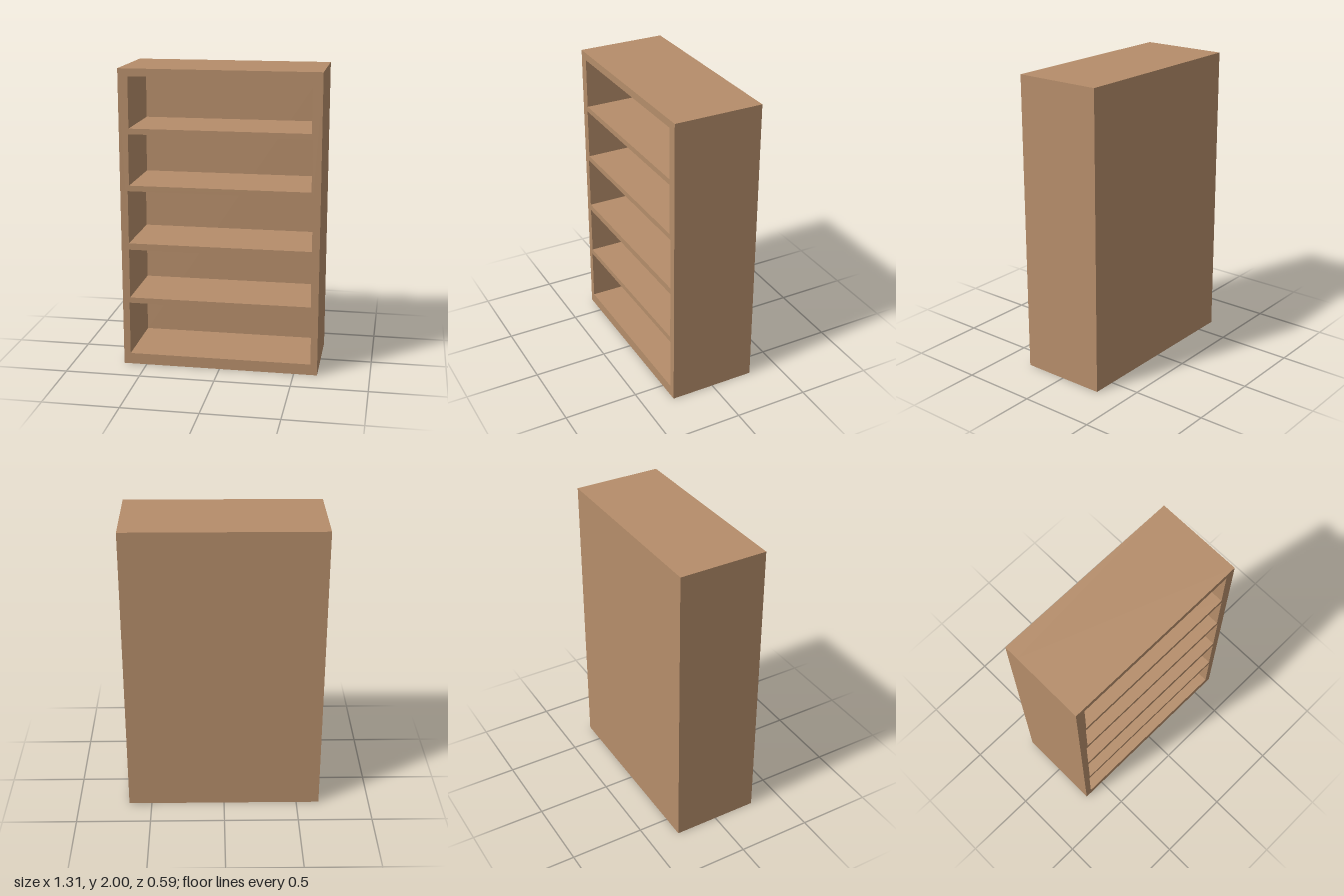
import * as THREE from 'three';

const W = 0.655, H = 2, FRONT = 0.294, BACK = -0.294, INNER = -0.196;

// Openings: half width, bottom, top
const OPENINGS = [
  [0.61, 0.074, 0.434],
  [0.605, 0.471, 0.804],
  [0.605, 0.847, 1.201],
  [0.595, 1.238, 1.577],
  [0.59, 1.614, 1.95],
];

function rectangle(Type, halfWidth, bottom, top) {
  const path = new Type();
  path.moveTo(-halfWidth, bottom);
  path.lineTo(halfWidth, bottom);
  path.lineTo(halfWidth, top);
  path.lineTo(-halfWidth, top);
  path.closePath();
  return path;
}

export function createModel() {
  const group = new THREE.Group();
  group.name = 'bookcase';
  const wood = new THREE.MeshStandardMaterial({ color: 0xb58d6a });
  wood.name = 'wood';

  // Frame and shelves, cut through by the five openings
  const outline = rectangle(THREE.Shape, W, 0, H);
  for (const o of OPENINGS) outline.holes.push(rectangle(THREE.Path, ...o));
  const frame = new THREE.Mesh(
    new THREE.ExtrudeGeometry(outline, { depth: FRONT - INNER, bevelEnabled: false }), wood);
  frame.name = 'frameAndShelves';
  frame.position.z = INNER;
  group.add(frame);

  // Thick back closing the openings
  const back = new THREE.Mesh(new THREE.BoxGeometry(2 * W, H, INNER - BACK), wood);
  back.name = 'backPanel';
  back.position.set(0, H / 2, (INNER + BACK) / 2);
  group.add(back);

  return group;
}
